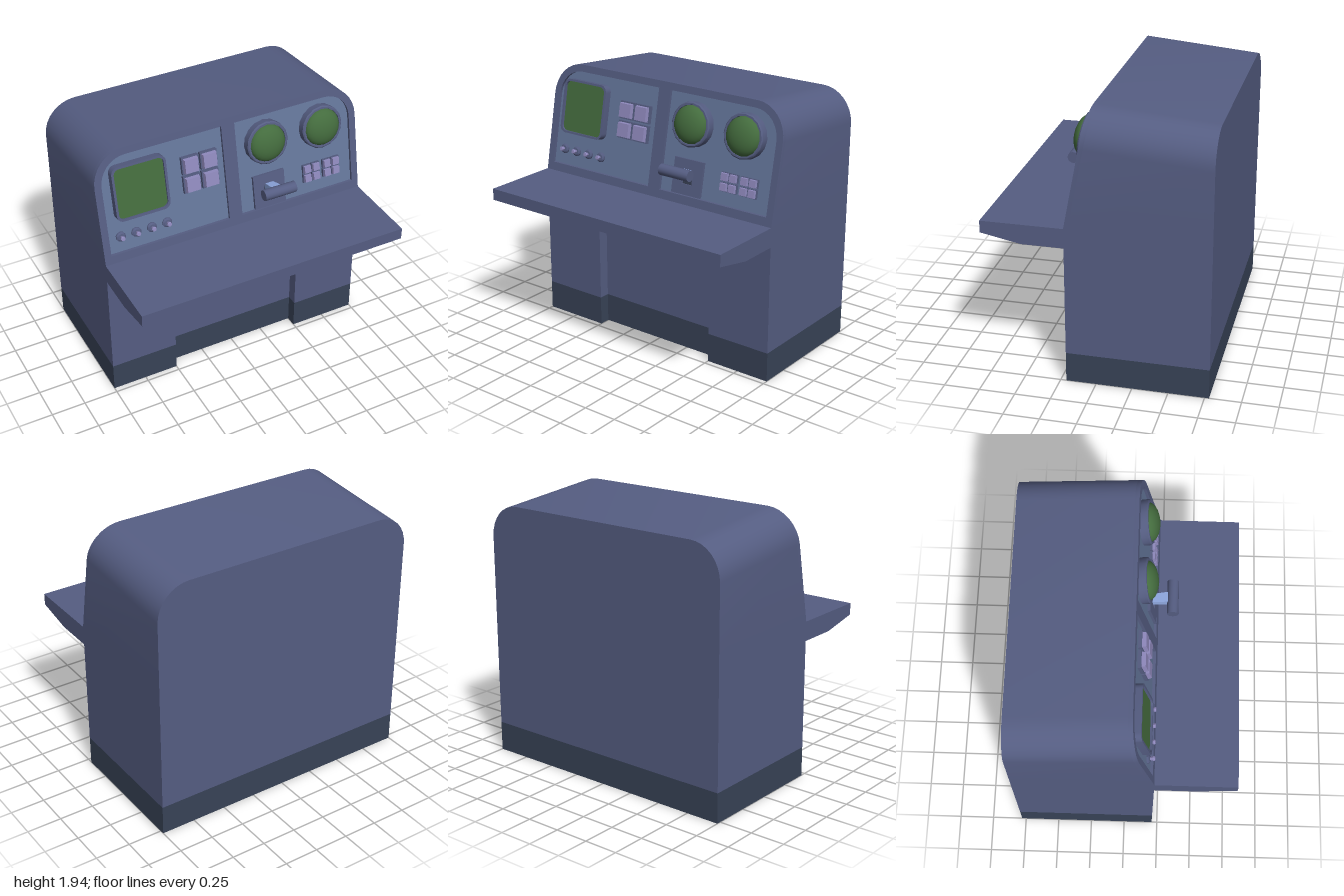
import * as THREE from 'three';
import { toCreasedNormals } from 'three/addons/utils/BufferGeometryUtils.js';

const paint = (color) => new THREE.MeshStandardMaterial({ color });
const BODY = paint(0x555d82), BASE = paint(0x384357), PANEL = paint(0x64769a), GREEN = paint(0x446c3e);
const BUTTON = paint(0x8f89bd), DARK = paint(0x353c50), LEVER = paint(0x94aee8);

const SLOPE = 0.194, TILT = -Math.atan(SLOPE), BACK = -0.78, RECESS = 0.02;
const faceZ = (y) => 0.21 - (y - 1.14) * SLOPE; // sloping console face

function add(parent, name, geo, mat, x = 0, y = 0, z = 0) {
  const m = new THREE.Mesh(geo, mat);
  m.name = name;
  m.position.set(x, y, z);
  parent.add(m);
  return m;
}

// Rectangle with its own radius for each corner: bottom left, bottom right, top right, top left
function roundRect(x0, y0, x1, y1, [bl, br, tr, tl], Type = THREE.Shape) {
  const s = new Type(), H = Math.PI / 2;
  const corner = (x, y, r, a) => (r ? s.absarc(x, y, r, a, a + H, false) : s.lineTo(x, y));
  s.moveTo(x0 + bl, y0);
  s.lineTo(x1 - br, y0);
  corner(x1 - br, y0 + br, br, -H);
  s.lineTo(x1, y1 - tr);
  corner(x1 - tr, y1 - tr, tr, 0);
  s.lineTo(x0 + tl, y1);
  corner(x0 + tl, y1 - tl, tl, H);
  s.lineTo(x0, y0 + bl);
  if (bl) corner(x0 + bl, y0 + bl, bl, 2 * H);
  s.closePath();
  return s;
}

const extrude = (shape, depth, curveSegments = 4) =>
  toCreasedNormals(new THREE.ExtrudeGeometry(shape, { depth, bevelEnabled: false, curveSegments }), 0.6);

// Extruded slab leaning with the console face; the top falls towards the back
function leaningSlab(shape, front, back) {
  const geo = new THREE.ExtrudeGeometry(shape, { depth: 1, bevelEnabled: false, curveSegments: 4 });
  const p = geo.attributes.position;
  for (let i = 0; i < p.count; i++) {
    const y = p.getY(i), f = faceZ(y);
    const z = p.getZ(i) > 0.5 ? f - front : back === null ? BACK : f - back;
    p.setXYZ(i, p.getX(i), y > 1.69 ? y - 0.09 * (f - z) : y, z);
  }
  geo.computeVertexNormals();
  return toCreasedNormals(geo, 0.6);
}

// Group lying on a recessed panel, local z pointing out of it
function onPanel(parent, name, x, y) {
  const g = new THREE.Group();
  g.name = name;
  g.position.set(x, y, faceZ(y) - RECESS);
  g.rotation.x = TILT;
  parent.add(g);
  return g;
}

// Four-sided key, narrower at its front
function keyGeometry(size, depth) {
  const geo = new THREE.CylinderGeometry(size * 0.64, size * Math.SQRT1_2, depth, 4, 1).toNonIndexed();
  geo.rotateY(Math.PI / 4).rotateX(Math.PI / 2).translate(0, 0, depth / 2);
  geo.computeVertexNormals();
  return geo;
}

// Two-by-two block of keys, each on its own plate
function keypad(parent, name, x, y, pitch, plate, key, depth) {
  const g = onPanel(parent, name, x, y);
  for (const i of [-0.5, 0.5]) for (const j of [-0.5, 0.5]) {
    add(g, 'keyPlate', new THREE.BoxGeometry(plate, plate, depth * 0.5), BODY, i * pitch, j * pitch, depth * 0.25);
    add(g, 'key', keyGeometry(key, depth * 0.6), BUTTON, i * pitch, j * pitch, depth * 0.45);
  }
}

const lathe = (pts, n) => toCreasedNormals(
  new THREE.LatheGeometry(pts.map(([r, h]) => new THREE.Vector2(r, h)), n).rotateX(Math.PI / 2), 0.6);

export function createModel() {
  const model = new THREE.Group();
  model.name = 'controlConsole';

  // Lower cabinet and plinth with a shallow knee recess
  const plan = new THREE.Shape([[-1, -BACK], [1, -BACK], [1, -0.21], [0.5, -0.21], [0.5, -0.13],
    [-0.5, -0.13], [-0.5, -0.21], [-1, -0.21]].map(([x, y]) => new THREE.Vector2(x, y)));
  add(model, 'plinth', extrude(plan, 0.215).rotateX(-Math.PI / 2), BASE);
  add(model, 'cabinet', extrude(plan, 0.925).rotateX(-Math.PI / 2), BODY, 0, 0.215);

  // Upper housing with a framed, recessed face
  const outline = () => roundRect(-1, 1.14, 1, 1.94, [0, 0, 0.235, 0.235]);
  const openings = [[-0.95, -0.05, [0, 0, 0, 0.19]], [0.05, 0.95, [0, 0, 0.19, 0]]];
  const frame = outline();
  for (const [x0, x1, r] of openings) {
    frame.holes.push(roundRect(x0, 1.2, x1, 1.89, r, THREE.Path));
    add(model, 'instrumentPanel', leaningSlab(roundRect(x0, 1.2, x1, 1.89, r), RECESS, 0.03), PANEL);
  }
  add(model, 'housing', leaningSlab(outline(), 0.03, null), BODY);
  add(model, 'faceFrame', leaningSlab(frame, 0, 0.03), BODY);

  // Desk shelf, profile drawn in z and y
  const shelf = new THREE.Shape([[0.12, 1], [0.5, 1], [0.785, 1.055], [0.785, 1.14], [0.12, 1.14]]
    .map(([z, y]) => new THREE.Vector2(-z, y)));
  add(model, 'deskShelf', extrude(shelf, 2).rotateY(Math.PI / 2), BODY, -1);

  // Square screen in a rounded bezel
  const screen = onPanel(model, 'screen', -0.688, 1.63);
  const bezel = roundRect(-0.197, -0.198, 0.197, 0.198, [0.05, 0.05, 0.05, 0.05]);
  bezel.holes.push(roundRect(-0.18, -0.183, 0.18, 0.183, [0.04, 0.04, 0.04, 0.04], THREE.Path));
  add(screen, 'screenBezel', extrude(bezel, 0.055), BODY);
  add(screen, 'screenGlass', extrude(roundRect(-0.182, -0.185, 0.182, 0.185, [0.04, 0.04, 0.04, 0.04]), 0.04), GREEN);

  // Toggle switches
  for (let i = 0; i < 4; i++) {
    const t = onPanel(model, 'toggleSwitch', -0.86 + i * 0.115, 1.31);
    add(t, 'toggleCollar', lathe([[0.036, 0], [0.036, 0.01], [0.024, 0.018], [0, 0.018]], 10), BODY);
    add(t, 'toggleStick', lathe([[0.01, 0.015], [0.018, 0.045], [0.014, 0.052], [0, 0.054]], 8), BUTTON);
  }

  // Keypads
  keypad(model, 'largeKeypad', -0.236, 1.615, 0.14, 0.126, 0.108, 0.05);
  keypad(model, 'smallKeypad', 0.622, 1.358, 0.07, 0.064, 0.055, 0.035);
  keypad(model, 'smallKeypad', 0.783, 1.358, 0.07, 0.064, 0.055, 0.035);

  // Round domed scopes
  for (const x of [0.275, 0.71]) {
    const s = onPanel(model, 'roundScope', x, 1.69);
    add(s, 'scopeRing', lathe([[0.158, 0], [0.158, 0.052], [0.15, 0.06], [0.137, 0.06], [0.134, 0.03]], 16), BODY);
    const dome = new THREE.SphereGeometry(0.136, 20, 8, 0, Math.PI * 2, 0, Math.PI / 2);
    add(s, 'scopeDome', dome.scale(1, 0.52, 1).rotateX(Math.PI / 2), GREEN, 0, 0, 0.045);
  }

  // Throttle lever on a slotted plate
  const lever = onPanel(model, 'throttle', 0.278, 1.326);
  const plate = roundRect(-0.123, -0.125, 0.123, 0.125, [0, 0, 0, 0]);
  plate.holes.push(roundRect(-0.042, -0.05, 0.042, 0.04, [0, 0, 0, 0], THREE.Path));
  add(lever, 'throttlePlate', extrude(plate, 0.02), BODY);
  add(lever, 'throttleSlot', new THREE.BoxGeometry(0.086, 0.092, 0.006), DARK, 0, -0.005, 0.003);
  const from = new THREE.Vector3(0.278, 1.355, 0.14), to = new THREE.Vector3(0.278, 1.4, 0.305);
  const arm = new THREE.CylinderGeometry(0.055, 0.042, from.distanceTo(to), 4, 1).toNonIndexed();
  arm.rotateY(Math.PI / 4).scale(1, 1, 0.7).rotateX(Math.PI / 2);
  arm.computeVertexNormals();
  const mid = from.clone().lerp(to, 0.5);
  add(model, 'throttleArm', arm, LEVER, mid.x, mid.y, mid.z).lookAt(to);
  const grip = toCreasedNormals(new THREE.CylinderGeometry(0.04, 0.04, 0.246, 16).rotateZ(Math.PI / 2), 0.6);
  add(model, 'throttleGrip', grip, BODY, to.x, to.y, to.z);

  return model;
}
